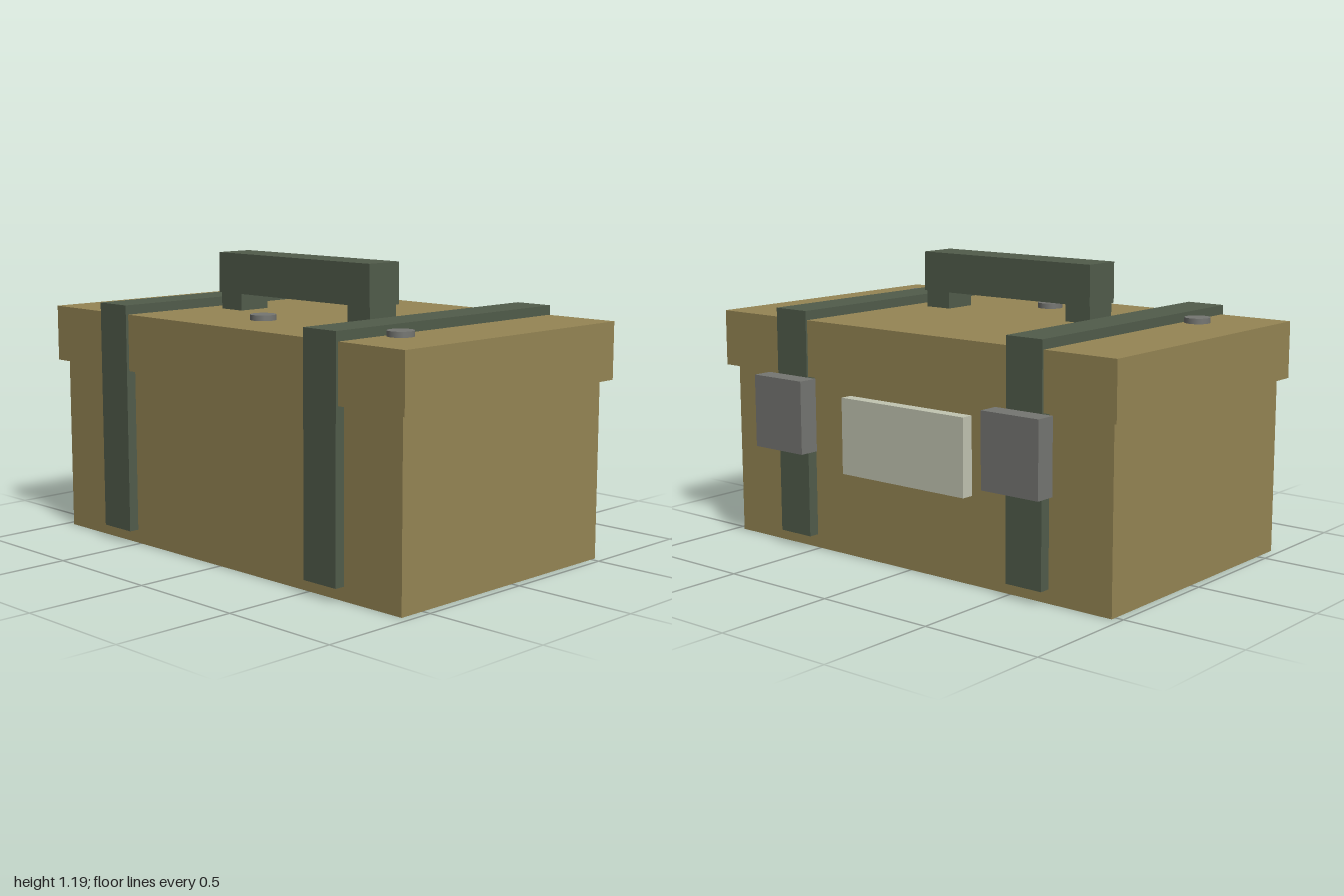
import * as THREE from 'three';

const material = (name, color) => {
  const m = new THREE.MeshStandardMaterial({ color });
  m.name = name;
  return m;
};

export function createModel() {
  const tan = material('tan case', 0x958554);
  const green = material('dark green webbing', 0x515c4b);
  const metal = material('grey metal', 0x757672);
  const paper = material('pale label', 0xc2c5b2);
  const model = new THREE.Group();
  model.name = 'strappedCase';

  // Box given by its minimum and maximum on each axis
  const box = (name, mat, [x0, x1], [y0, y1], [z0, z1]) => {
    const mesh = new THREE.Mesh(new THREE.BoxGeometry(x1 - x0, y1 - y0, z1 - z0), mat);
    mesh.position.set((x0 + x1) / 2, (y0 + y1) / 2, (z0 + z1) / 2);
    mesh.name = name;
    model.add(mesh);
    return mesh;
  };

  // Case body and overhanging lid
  box('body', tan, [-0.965, 0.965], [0, 0.72], [-0.523, 0.61]);
  box('lid', tan, [-1, 1], [0.72, 0.95], [-0.56, 0.64]);

  // Strap outline in the z-y plane: over the lid and down both sides
  const outline = [
    [0.652, 0.055], [0.652, 0.988], [-0.568, 0.988], [-0.568, 0.055],
    [-0.52, 0.055], [-0.52, 0.94], [0.605, 0.94], [0.605, 0.055],
  ].map(([z, y]) => new THREE.Vector2(-z, y));
  const strapGeometry = new THREE.ExtrudeGeometry(new THREE.Shape(outline), {
    depth: 0.166, bevelEnabled: false,
  });
  strapGeometry.translate(0, 0, -0.083).rotateY(Math.PI / 2);

  for (const side of [-1, 1]) {
    const label = side > 0 ? 'left' : 'right';
    const strap = new THREE.Mesh(strapGeometry, green);
    strap.position.x = side * 0.598;
    strap.name = label + 'Strap';
    model.add(strap);

    // Back buckle and handle post
    const cx = side * 0.598;
    box(label + 'Buckle', metal, [cx - 0.132, cx + 0.132], [0.42, 0.718], [-0.652, -0.568]);
    const px = side * 0.367;
    box(label + 'HandlePost', green, [px - 0.06, px + 0.06], [0.94, 1.03], [0.07, 0.215]);
  }

  // Carrying handle
  box('handleGrip', green, [-0.432, 0.432], [1.02, 1.185], [0.06, 0.224]);

  // Label plate on the back
  box('labelPlate', paper, [-0.315, 0.315], [0.35, 0.66], [-0.574, -0.52]);

  // Round studs along the front of the lid
  const studGeometry = new THREE.CylinderGeometry(0.052, 0.052, 0.032, 20);
  for (const x of [-0.733, 0, 0.733]) {
    const stud = new THREE.Mesh(studGeometry, metal);
    stud.position.set(x, 0.956, 0.373);
    stud.name = 'stud';
    model.add(stud);
  }

  return model;
}
